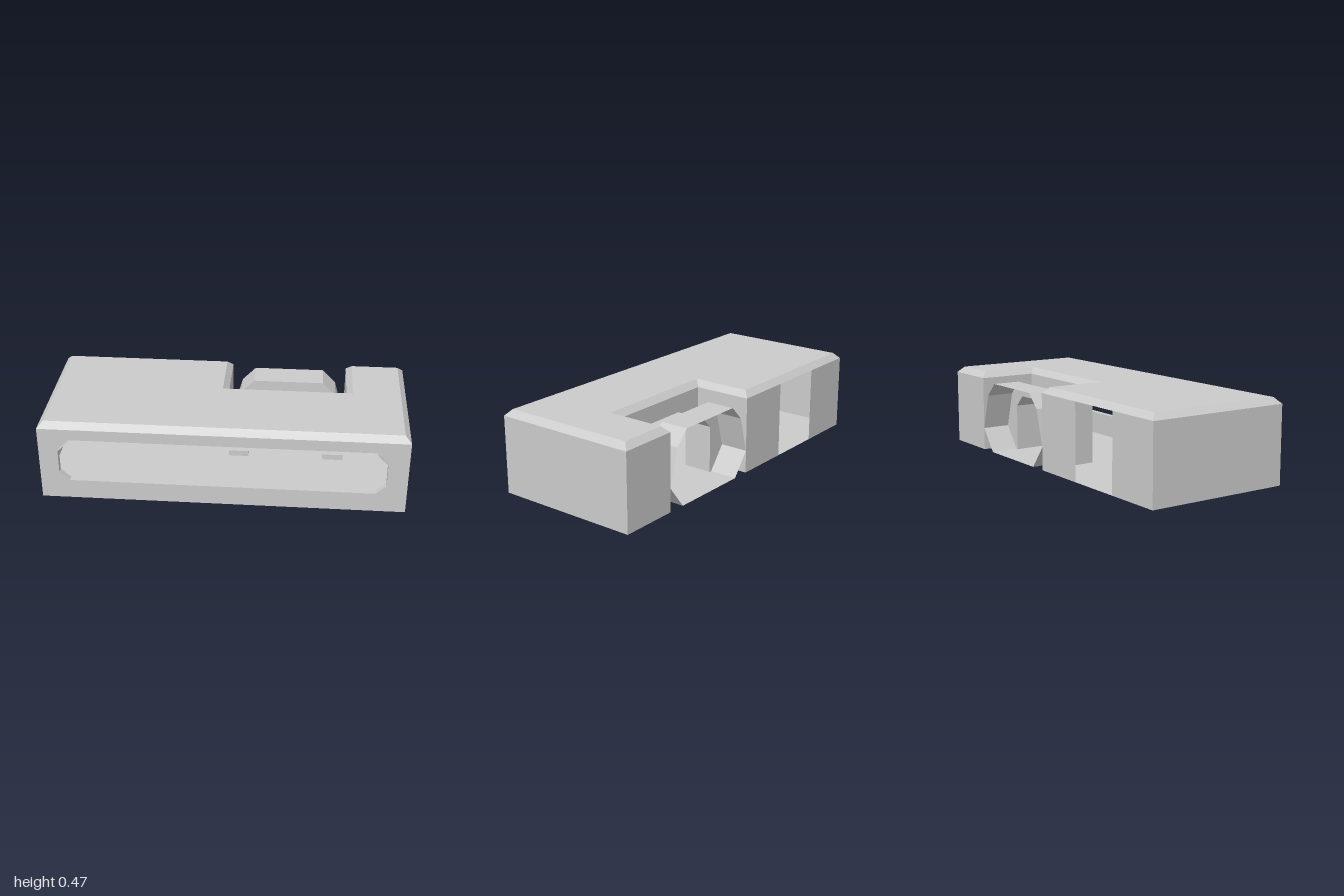
import * as THREE from 'three';

const material = new THREE.MeshStandardMaterial({ color: 0xcccccc, flatShading: true, side: THREE.DoubleSide });

const v2 = (pts) => pts.map(([x, y]) => new THREE.Vector2(x, y));

// Flat panel cut from a 2D outline, optionally with one hole
function panel(outline, hole) {
  const shape = new THREE.Shape(v2(outline));
  if (hole) shape.holes.push(new THREE.Path(v2(hole)));
  return new THREE.ShapeGeometry(shape);
}

// Band of quads joining two matching rows of points, leaving out the skipped segments
function band(a, b, closed, skip = []) {
  const pos = [];
  const count = closed ? a.length : a.length - 1;
  for (let i = 0; i < count; i++) {
    if (skip.includes(i)) continue;
    const j = (i + 1) % a.length;
    pos.push(...a[i], ...a[j], ...b[j], ...a[i], ...b[j], ...b[i]);
  }
  const geometry = new THREE.BufferGeometry();
  geometry.setAttribute('position', new THREE.Float32BufferAttribute(pos, 3));
  geometry.computeVertexNormals();
  return geometry;
}

// Sweep an xy profile straight from z0 (back) to z1 (front)
const sweep = (profile, z0, z1, closed) =>
  band(profile.map(([x, y]) => [x, y, z0]), profile.map(([x, y]) => [x, y, z1]), closed);

// Right half of an arch mirrored about the middle of the notch
const NOTCH_MID = 0.3333;
const arch = (half) => [...half, ...half.map(([x, y]) => [2 * NOTCH_MID - x, y]).reverse()];

export function createModel() {
  const group = new THREE.Group();
  const add = (name, geometry) => {
    const mesh = new THREE.Mesh(geometry, material);
    mesh.name = name;
    group.add(mesh);
    return mesh;
  };

  const FRONT = 0.4, BACK = -0.433, WALL = 0.433, TOP = 0.467;
  const NOTCH = -0.1, STEP = -0.27;

  // Plan outlines (x, z): foot of the walls and the bevelled roof edge
  const plan = [
    [-1, FRONT], [1, FRONT], [1, BACK], [0.667, BACK], [0.667, NOTCH],
    [0, NOTCH], [0, BACK], [-0.333, BACK], [-0.667, BACK], [-1, BACK],
  ];
  const roofPlan = [
    [-0.967, 0.367], [0.967, 0.367], [0.967, -0.4], [0.7, -0.4], [0.7, -0.067],
    [-0.033, -0.067], [-0.033, -0.4], [-0.333, -0.4], [-0.667, -0.4], [-0.967, -0.4],
  ];
  const at = (pts, y) => pts.map(([x, z]) => [x, y, z]);

  // Thin shell: walls (front, notch end and back doorway left open), bevel, roof
  add('walls', band(at(plan, 0), at(plan, WALL), true, [0, 4, 7]));
  add('roofBevel', band(at(plan, WALL), at(roofPlan, TOP), true));
  add('roof', panel(roofPlan.map(([x, z]) => [x, -z])).rotateX(-Math.PI / 2)).position.y = TOP;

  // Floor with a tongue running back under the port
  const floorPlan = [
    [-1, FRONT], [1, FRONT], [1, BACK], [0.667, BACK], [0.667, NOTCH], [0.566, NOTCH],
    [0.566, BACK], [0.1, BACK], [0.1, NOTCH], [0, NOTCH], [0, BACK], [-1, BACK],
  ];
  add('floor', panel(floorPlan).rotateX(Math.PI / 2));

  // Front wall with the long slot and its raised rim
  const slot = [
    [0.83, 0.135], [0.885, 0.185], [0.885, 0.318], [0.83, 0.37],
    [-0.83, 0.37], [-0.885, 0.318], [-0.885, 0.185], [-0.83, 0.135],
  ];
  add('frontWall', panel([[-1, 0], [1, 0], [1, WALL], [-1, WALL]], slot)).position.z = FRONT;
  add('slotRim', sweep(slot, FRONT, 0.433, true));

  // Port in the notch: narrow arched tunnel opening into a wider hood
  const tunnel = arch([[0.552, 0], [0.552, 0.267], [0.487, 0.333]]);
  const hood = arch([[0.566, 0], [0.667, 0.13], [0.61, 0.335], [0.533, 0.415]]);
  const tunnelBack = [...tunnel].reverse();
  add('portTunnel', sweep(tunnel, STEP, NOTCH, false));
  add('portHood', sweep(hood, BACK, STEP, false));
  add('portStep', panel([...hood, ...tunnelBack])).position.z = STEP;
  add('notchWall', panel([[0.667, 0], [0.667, WALL], [0, WALL], [0, 0], ...tunnelBack])).position.z = NOTCH;

  return group;
}
